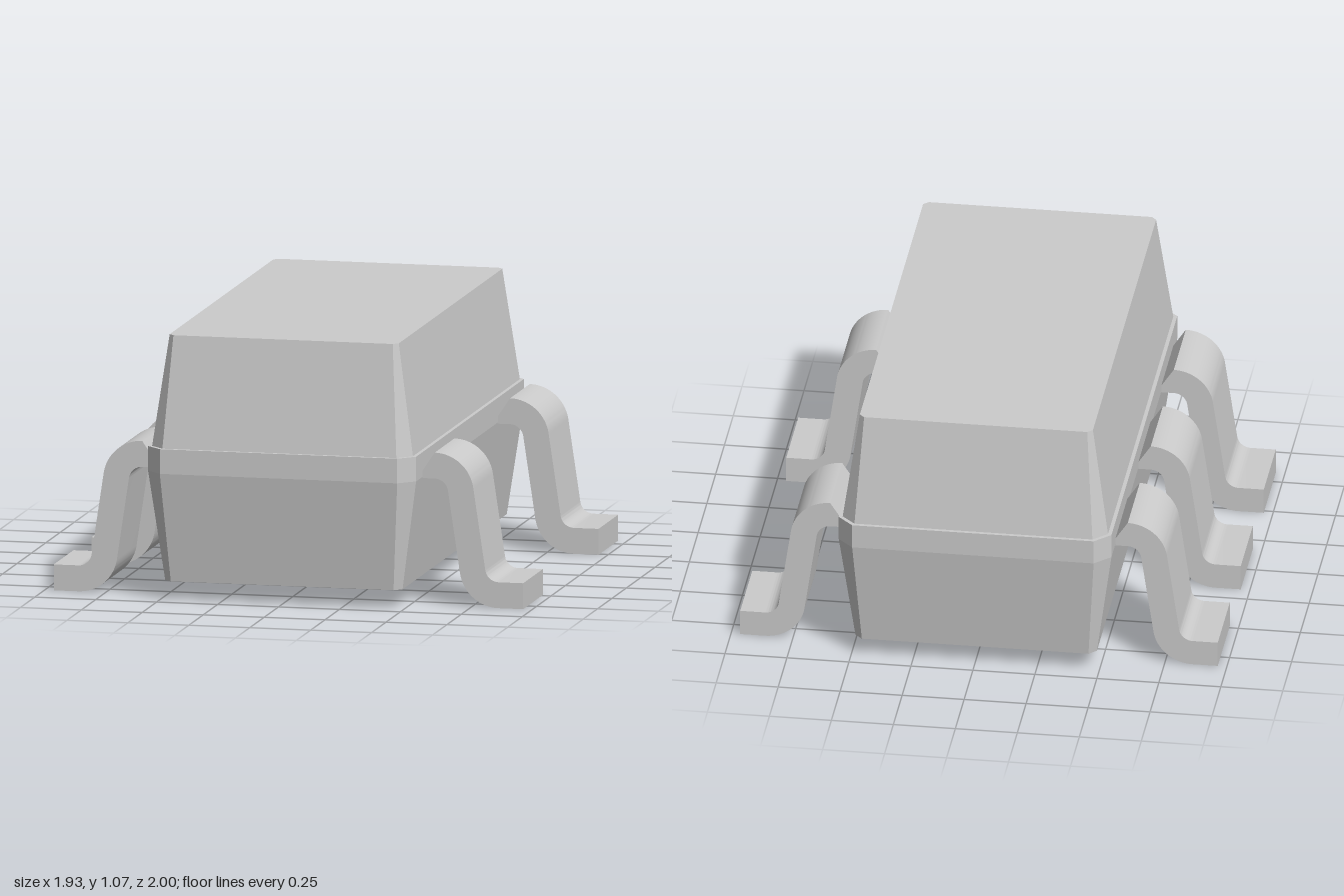
import * as THREE from 'three';
import { toCreasedNormals } from 'three/addons/utils/BufferGeometryUtils.js';

const material = new THREE.MeshStandardMaterial({ color: 0xcccccc });

// Chamfered rectangle, counter-clockwise seen from above
function ring(y, x, z, c) {
  return [[x, z - c], [x, c - z], [x - c, -z], [c - x, -z], [-x, c - z], [-x, z - c], [c - x, z], [x - c, z]]
    .map(([px, pz]) => [px, y, pz]);
}

// Closed solid through a stack of rings, bottom to top
function loft(rings) {
  const pos = [];
  const tri = (a, b, c) => pos.push(...a, ...b, ...c);
  const n = rings[0].length, top = rings[rings.length - 1], bottom = rings[0];
  for (let k = 0; k < rings.length - 1; k++) {
    for (let i = 0; i < n; i++) {
      const j = (i + 1) % n, lo = rings[k], hi = rings[k + 1];
      tri(lo[i], lo[j], hi[j]);
      tri(lo[i], hi[j], hi[i]);
    }
  }
  for (let i = 1; i < n - 1; i++) {
    tri(top[0], top[i], top[i + 1]);
    tri(bottom[0], bottom[i + 1], bottom[i]);
  }
  const geo = new THREE.BufferGeometry();
  geo.setAttribute('position', new THREE.Float32BufferAttribute(pos, 3));
  geo.computeVertexNormals();
  return geo;
}

// Gull-wing lead: side profile with two concentric bends, extruded along z
function leadGeometry(width) {
  const tilt = 0.148, outer = 0.16, inner = 0.055;
  const upper = [0.6, 0.46], lower = [0.862, 0.16];
  const s = new THREE.Shape();
  s.moveTo(0.53, upper[1] + outer);
  s.absarc(...upper, outer, Math.PI / 2, tilt, true);
  s.absarc(...lower, inner, Math.PI + tilt, Math.PI * 1.5, false);
  s.lineTo(0.963, lower[1] - inner);
  s.lineTo(0.963, 0);
  s.absarc(...lower, outer, Math.PI * 1.5, Math.PI + tilt, true);
  s.absarc(...upper, inner, tilt, Math.PI / 2, false);
  s.lineTo(0.53, upper[1] + inner);
  s.closePath();
  const geo = new THREE.ExtrudeGeometry(s, { depth: width, bevelEnabled: false, curveSegments: 12 });
  geo.translate(0, 0, -width / 2);
  return toCreasedNormals(geo, 0.5);
}

export function createModel() {
  const model = new THREE.Group();
  model.name = 'chipPackage';

  // Moulded body: tapered lower half, straight band, small ledge, tapered upper half
  const body = new THREE.Mesh(loft([
    ring(0.075, 0.487, 0.936, 0.03),
    ring(0.52, 0.55, 1, 0.063),
    ring(0.62, 0.55, 1, 0.063),
    ring(0.62, 0.535, 0.985, 0.055),
    ring(1.07, 0.47, 0.92, 0.02),
  ]), material);
  body.name = 'body';
  model.add(body);

  // Two leads on the left side, three on the right
  const geo = leadGeometry(0.343);
  const addLead = (name, z, angle) => {
    const lead = new THREE.Mesh(geo, material);
    lead.name = name;
    lead.position.z = z;
    lead.rotation.y = angle;
    model.add(lead);
  };
  for (const z of [-0.655, 0.655]) addLead('leftLead', z, 0);
  for (const z of [-0.655, 0, 0.655]) addLead('rightLead', z, Math.PI);

  return model;
}
